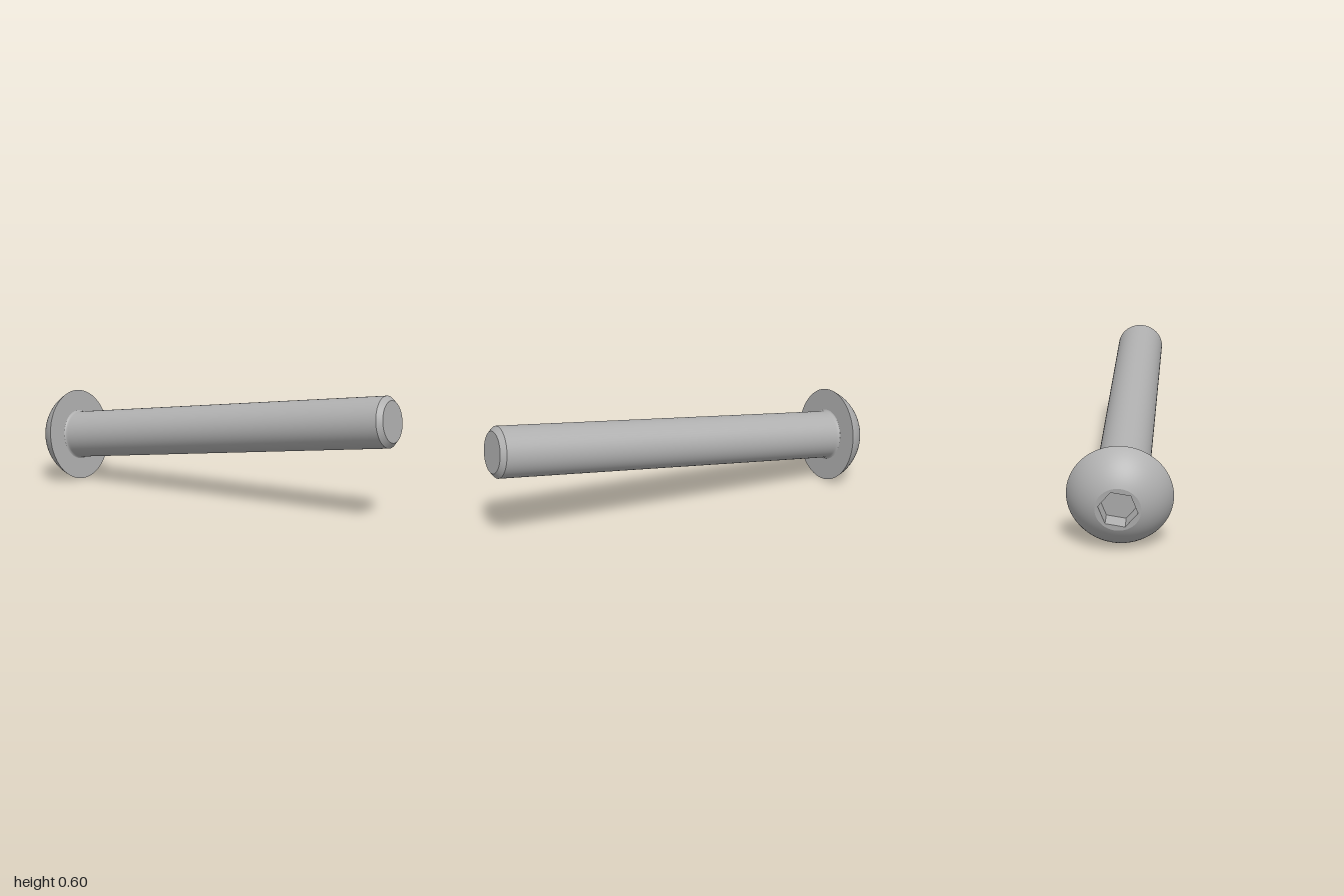
import * as THREE from 'three';

export function createModel() {
  const steel = new THREE.MeshStandardMaterial({ color: 0xb0b0b0 });
  steel.name = 'steel grey';
  const bolt = new THREE.Group();
  bolt.name = 'bolt';

  const SEG = 64;
  const length = 1.853, shaftR = 0.12, tipR = 0.097;
  const headR = 0.235, headH = 0.139, faceR = 0.1;
  const hexR = 0.087, hexDepth = 0.08, hexTurn = THREE.MathUtils.degToRad(10);

  const add = (name, geometry) => {
    const mesh = new THREE.Mesh(geometry, steel);
    mesh.name = name;
    bolt.add(mesh);
  };
  // Profiles are [radius, distance along the bolt], turned about the z axis
  const turn = (name, profile) => add(name, new THREE.LatheGeometry(
    profile.map(([r, d]) => new THREE.Vector2(r, d)), SEG).rotateX(Math.PI / 2));

  // Domed head: an arc of a sphere from the flat face to the sharp rim
  const centre = (headR ** 2 - faceR ** 2 - headH ** 2) / (2 * headH);
  const domeR = Math.hypot(headR, centre);
  const a0 = Math.asin(faceR / domeR), a1 = Math.asin(headR / domeR);
  const dome = [];
  for (let i = 0; i <= 16; i++) {
    const a = a0 + (a1 - a0) * i / 16;
    dome.push([domeR * Math.sin(a), centre - domeR * Math.cos(a)]);
  }
  turn('headDome', dome);
  turn('headUnderside', [[headR, 0], [shaftR + 0.008, 0]]);

  // Shaft with a small fillet under the head and a chamfered tip
  turn('shaft', [[shaftR + 0.008, 0], [shaftR + 0.002, 0.003], [shaftR, 0.01],
    [shaftR, 0.02], [shaftR, length - 0.023]]);
  turn('tipChamfer', [[shaftR, length - 0.023], [tipR, length]]);
  turn('tipFace', [[tipR, length], [0, length]]);

  // Flat face of the head with a hexagonal opening
  const face = new THREE.Shape().absarc(0, 0, faceR, 0, Math.PI * 2);
  const hole = [];
  for (let i = 0; i < 6; i++) {
    const a = -hexTurn - i * Math.PI / 3;
    hole.push(new THREE.Vector2(hexR * Math.cos(a), hexR * Math.sin(a)));
  }
  face.holes.push(new THREE.Path(hole));
  add('headFace', new THREE.ShapeGeometry(face, SEG / 2).rotateX(Math.PI).translate(0, 0, -headH));

  // Hexagonal socket: floor and inward facing walls
  const socket = new THREE.LatheGeometry([
    new THREE.Vector2(0, hexDepth - headH),
    new THREE.Vector2(hexR, hexDepth - headH),
    new THREE.Vector2(hexR, -headH),
  ], 6, hexTurn + Math.PI / 2).rotateX(Math.PI / 2).toNonIndexed();
  socket.computeVertexNormals();
  add('hexSocket', socket);

  // Lean the bolt from the head up to the tip
  bolt.quaternion.setFromUnitVectors(new THREE.Vector3(0, 0, 1),
    new THREE.Vector3(0.121, 0.248, 1.833).normalize());
  bolt.position.set(-0.003, 0.235, -0.848);

  const model = new THREE.Group();
  model.name = 'socketHeadBolt';
  model.add(bolt);
  return model;
}
